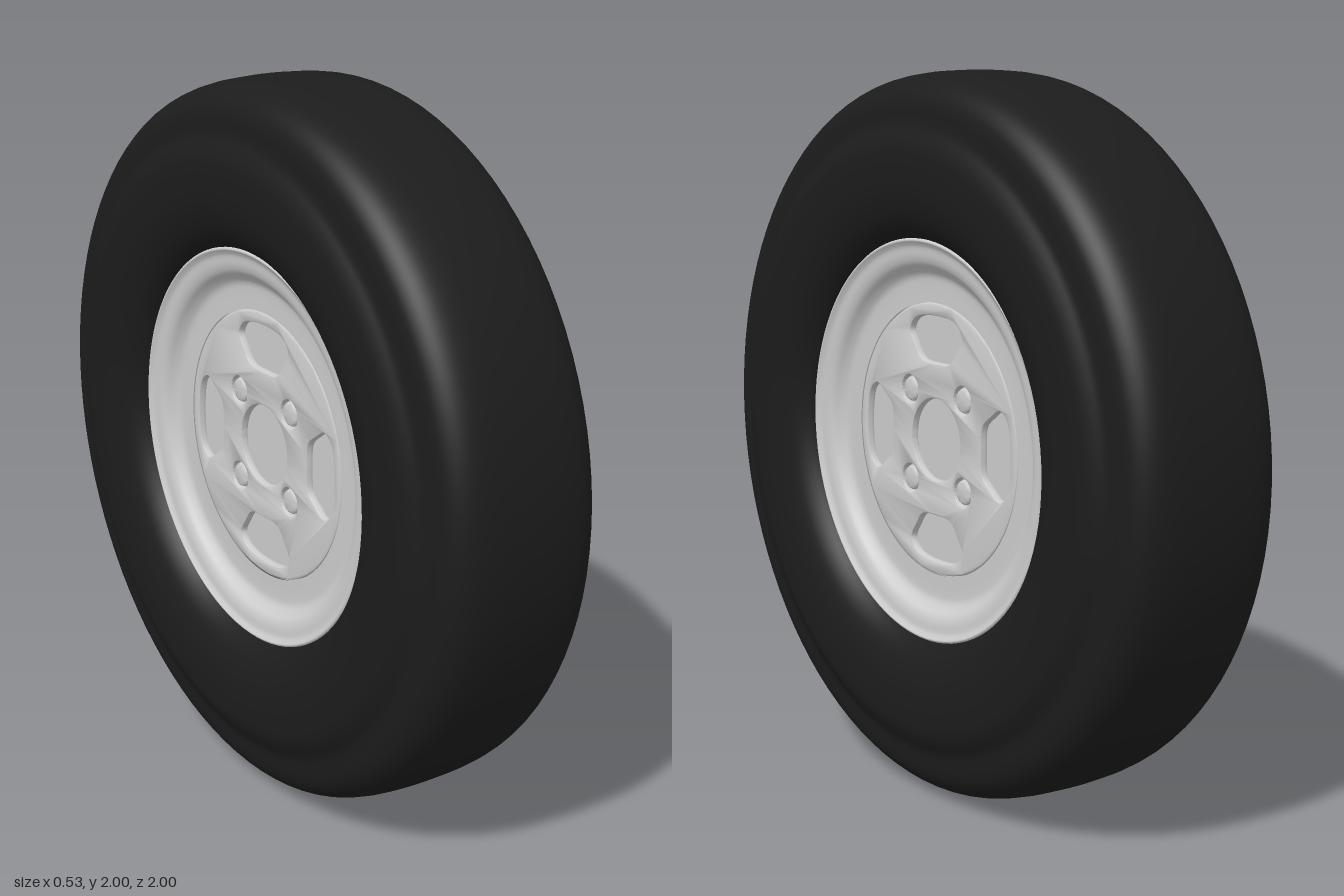
import * as THREE from 'three';
import { toCreasedNormals } from 'three/addons/utils/BufferGeometryUtils.js';

const rubber = new THREE.MeshStandardMaterial({ color: 0x1c1c1c });
const metal = new THREE.MeshStandardMaterial({ color: 0xcccccc });
const V = (x, y) => new THREE.Vector2(x, y);

function mesh(name, geometry, material) {
  const m = new THREE.Mesh(geometry, material);
  m.name = name;
  return m;
}

// Turned part whose profile is [radius, x], spun around the x axis
function turned(name, points, material) {
  const g = new THREE.LatheGeometry(points, 96);
  g.rotateZ(-Math.PI / 2);
  return mesh(name, g, material);
}

// Tyre: half section from bead to tread centre, mirrored to the other side
function makeTyre() {
  const half = [
    [0.55, 0.17], [0.56, 0.2], [0.6, 0.235], [0.66, 0.257], [0.72, 0.264], [0.79, 0.263],
    [0.825, 0.252], [0.855, 0.236], [0.88, 0.231], [0.91, 0.228], [0.94, 0.218],
    [0.967, 0.195], [0.985, 0.16], [0.995, 0.11], [0.999, 0.05],
  ];
  const section = [
    ...half.map(([r, x]) => V(r, -x)),
    V(1, 0),
    ...half.slice().reverse().map(([r, x]) => V(r, x)),
  ];
  return turned('tyre', new THREE.SplineCurve(section).getPoints(100), rubber);
}

// Shallow window: wide outer edge, narrow inner edge, rounded corners
function windowPath(angle) {
  const pts = [
    [-0.07, 0.215], [0, 0.208], [0.07, 0.215], [0.105, 0.255], [0.127, 0.295],
    [0.1, 0.332], [0, 0.348], [-0.1, 0.332], [-0.127, 0.295], [-0.105, 0.255],
  ].map(([x, y]) => new THREE.Vector3(x, y, 0).applyAxisAngle(new THREE.Vector3(0, 0, 1), angle));
  const smooth = new THREE.CatmullRomCurve3(pts, true).getPoints(60).slice(0, -1);
  return new THREE.Path(smooth.map(p => V(p.x, p.y)));
}

function circlePath(x, y, r) {
  return new THREE.Path().absarc(x, y, r, 0, Math.PI * 2, true);
}

// Wheel face looking along +x
function makeWheelFace() {
  const face = new THREE.Group();

  // Rolled lip, dished rim and the floor behind the disc
  const dish = new THREE.SplineCurve([
    V(0.558, 0.16), V(0.557, 0.187), V(0.55, 0.196), V(0.541, 0.191), V(0.53, 0.186),
    V(0.505, 0.183), V(0.485, 0.175), V(0.468, 0.158), V(0.452, 0.147), V(0.43, 0.144), V(0.379, 0.144),
  ]).getPoints(50);
  face.add(turned('rim', dish, metal));
  face.add(turned('discFloor', [V(0.385, 0.125), V(0, 0.125)], metal));

  // Pressed disc with hub bore, four windows and four bolt seats
  const shape = new THREE.Shape().absarc(0, 0, 0.372, 0, Math.PI * 2, false);
  shape.holes.push(circlePath(0, 0, 0.12));
  const bolts = [];
  for (let i = 0; i < 4; i++) {
    const a = i * Math.PI / 2;
    shape.holes.push(windowPath(a));
    const b = V(Math.cos(a + Math.PI / 4) * 0.178, Math.sin(a + Math.PI / 4) * 0.178);
    bolts.push(b);
    shape.holes.push(circlePath(b.x, b.y, 0.045));
  }
  const disc = new THREE.ExtrudeGeometry(shape, {
    depth: 0.006, curveSegments: 48,
    bevelThickness: 0.012, bevelSize: 0.006, bevelSegments: 3,
  });
  disc.translate(0, 0, 0.145 - 0.018);
  disc.rotateY(Math.PI / 2);
  face.add(mesh('disc', toCreasedNormals(disc, 0.6), metal));

  // Low round bolt heads in the seats
  const head = [V(0.034, 0.12), V(0.034, 0.136), V(0.031, 0.141), V(0.026, 0.143), V(0, 0.143)];
  for (const b of bolts) {
    const g = toCreasedNormals(new THREE.LatheGeometry(head, 32), 0.7);
    g.rotateZ(-Math.PI / 2);
    const bolt = mesh('bolt', g, metal);
    bolt.position.set(0, b.y, b.x);
    face.add(bolt);
  }
  return face;
}

export function createModel() {
  const wheel = new THREE.Group();
  wheel.name = 'wheel';
  wheel.add(makeTyre());

  // Same face on both sides
  const left = makeWheelFace();
  left.name = 'leftFace';
  const right = makeWheelFace();
  right.name = 'rightFace';
  right.rotation.y = Math.PI;
  wheel.add(left, right);

  wheel.position.y = 1;
  const model = new THREE.Group();
  model.add(wheel);
  return model;
}
